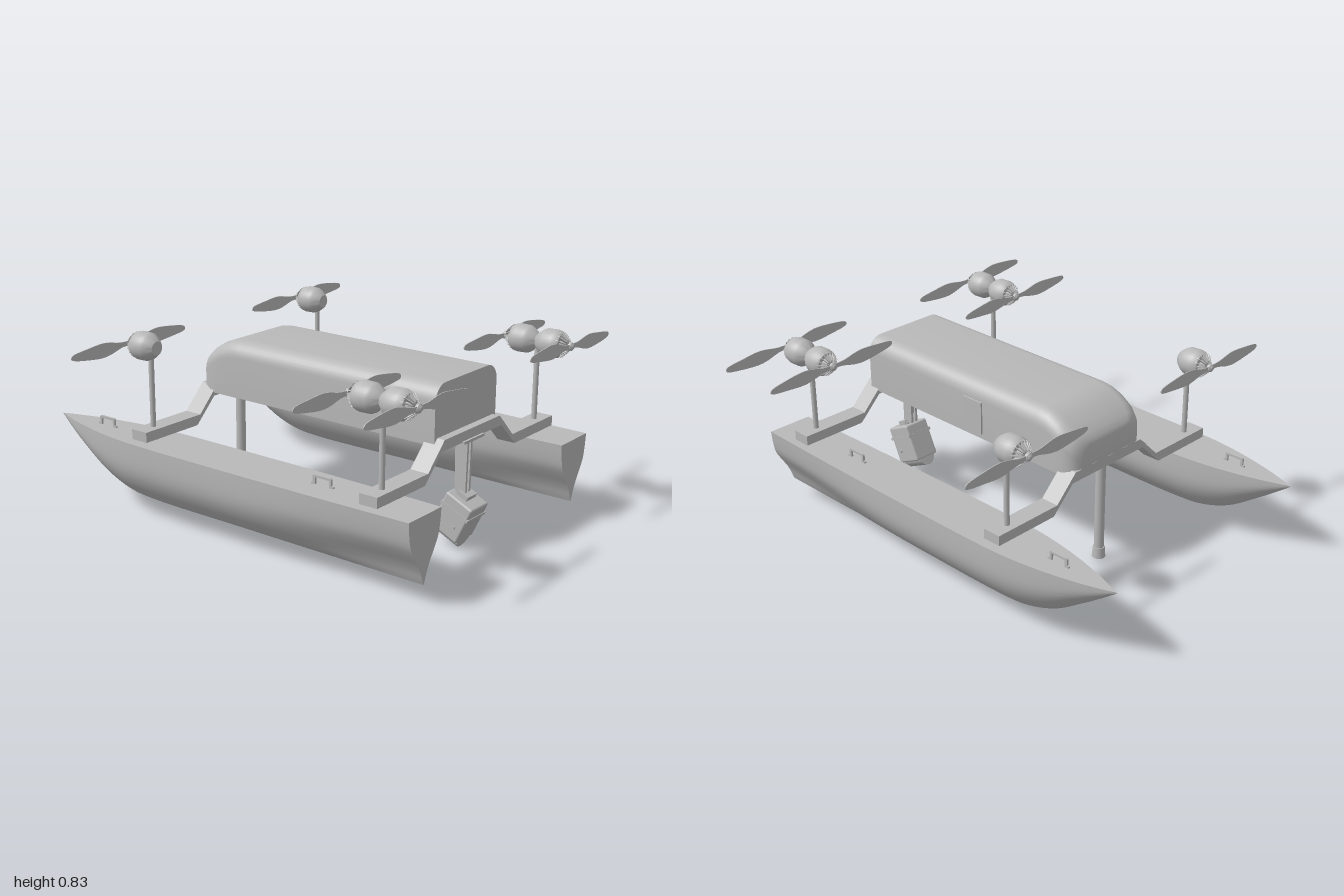
import * as THREE from 'three';
import { toCreasedNormals } from 'three/addons/utils/BufferGeometryUtils.js';
import { RoundedBoxGeometry } from 'three/addons/geometries/RoundedBoxGeometry.js';

const grey = new THREE.MeshStandardMaterial({ color: 0xb8b8b8 });
grey.name = 'hullGrey';
const HULL_Z = 0.564;
const MOTOR_Y = 0.777;

function add(parent, name, geometry, x = 0, y = 0, z = 0) {
  const mesh = new THREE.Mesh(geometry, grey);
  mesh.name = name;
  mesh.position.set(x, y, z);
  parent.add(mesh);
  return mesh;
}

// Skin over sections along x; each half outline runs [z, y] down the +z side and is mirrored
function loft(sections, crease) {
  const pos = [], idx = [];
  const rings = sections.map(({ x, half }) => {
    const ring = [...half, ...half.slice().reverse().map(([z, y]) => [-z, y])];
    ring.forEach(([z, y]) => pos.push(x, y, z));
    return ring;
  });
  const n = rings[0].length;
  for (let i = 0; i < rings.length - 1; i++) {
    for (let j = 0; j < n; j++) {
      const k = (j + 1) % n;
      const a = i * n + j, b = a + n, c = (i + 1) * n + k, d = i * n + k;
      idx.push(a, c, b, a, d, c);
    }
  }
  const last = (rings.length - 1) * n;
  for (let j = 0; j < n / 2 - 1; j++) {
    const a = j, b = j + 1, c = n - 2 - j, d = n - 1 - j;
    idx.push(last + a, last + b, last + c, last + a, last + c, last + d);
    idx.push(a, c, b, a, d, c);
  }
  const g = new THREE.BufferGeometry();
  g.setAttribute('position', new THREE.Float32BufferAttribute(pos, 3));
  g.setIndex(idx);
  return toCreasedNormals(g, crease);
}

// Extrude an outline drawn in the z-y plane along x, centred on x = 0
function extrudeX(shape, depth) {
  const g = new THREE.ExtrudeGeometry(shape, { depth, bevelEnabled: false, curveSegments: 10 });
  return g.translate(0, 0, -depth / 2).rotateY(-Math.PI / 2);
}

const polygon = (pts) => new THREE.Shape(pts.map(([x, y]) => new THREE.Vector2(x, y)));

// Read a smooth curve of [x, a, b] stations as a list of evenly sampled vectors
const sample = (pts, count) =>
  new THREE.CatmullRomCurve3(pts.map((p) => new THREE.Vector3(...p)), false, 'centripetal').getPoints(count);

function hullGeometry() {
  const full = [[1, 0], [1, 0.2], [0.97, 0.4], [0.88, 0.55], [0.7, 0.7], [0.45, 0.84], [0.2, 0.95], [0, 1]];
  const hollow = [[1, 0], [0.95, 0.2], [0.85, 0.38], [0.62, 0.54], [0.38, 0.68], [0.2, 0.81], [0.09, 0.92], [0, 1]];
  // x, half beam, keel height
  const stations = [[-1, 0.001, 0.365], [-0.92, 0.03, 0.305], [-0.84, 0.055, 0.248], [-0.69, 0.09, 0.15],
    [-0.55, 0.111, 0.1], [-0.42, 0.12, 0.087], [0.1, 0.122, 0.085], [0.6, 0.117, 0.085], [1, 0.107, 0.085]];
  return loft(sample(stations, 48).map(({ x, y: beam, z: keel }) => {
    const t = THREE.MathUtils.smoothstep(x, 0.1, 1);
    const half = sample(full.map(([w, d], i) => [
      THREE.MathUtils.lerp(w, hollow[i][0], t) * beam,
      0.37 - THREE.MathUtils.lerp(d, hollow[i][1], t) * (0.37 - keel), 0]), 20);
    return { x, half: half.map((p) => [p.x, p.y]) };
  }), 0.7);
}

function cabinGeometry() {
  // x, half width, roof height
  const stations = [[-0.462, 0.165, 0.635], [-0.455, 0.188, 0.65], [-0.435, 0.21, 0.672], [-0.4, 0.223, 0.7],
    [-0.35, 0.225, 0.731], [-0.3, 0.225, 0.75], [-0.25, 0.225, 0.756], [0.805, 0.225, 0.756]];
  return loft(stations.map(([x, w, top]) => {
    const r = 0.07, half = [];
    for (let i = 0; i <= 8; i++) {
      const a = (i / 8) * Math.PI / 2;
      half.push([w - r + r * Math.sin(a), top - r + r * Math.cos(a)]);
    }
    half.push([w, 0.505]);
    return { x, half };
  }), 0.75);
}

// Cranked cross beam joining the cabin to both hulls
function beamGeometry() {
  const top = [[0.65, 0.425], [0.315, 0.425], [0.205, 0.535]];
  const low = [[0.65, 0.38], [0.335, 0.38], [0.222, 0.49]];
  const mirror = (pts) => pts.map(([z, y]) => [-z, y]);
  return extrudeX(polygon([...low.slice().reverse(), ...top, ...mirror(top).reverse(), ...mirror(low)]), 0.085);
}

// Two leaf-shaped blades
function bladeGeometry() {
  const s = new THREE.Shape();
  s.moveTo(0, 0.01);
  s.splineThru([[0.05, 0.012], [0.12, 0.03], [0.18, 0.034], [0.28, 0.022], [0.325, 0.012], [0.335, 0],
    [0.32, -0.012], [0.24, -0.022], [0.15, -0.028], [0.06, -0.012], [0, -0.01]]
    .map(([x, y]) => new THREE.Vector2(x, y)));
  return extrudeX(s, 0.004);
}

const lathe = (pts, sides) => toCreasedNormals(
  new THREE.LatheGeometry(pts.map(([r, h]) => new THREE.Vector2(r, h)), sides).rotateZ(-Math.PI / 2), 0.6);

// Motor pod with its tail at the local origin and the propeller toward +x
function motorPod(tilt) {
  const g = new THREE.Group();
  g.name = 'motorPod';
  add(g, 'nacelle', lathe([[0, 0], [0.03, 0], [0.038, 0.008], [0.054, 0.03], [0.061, 0.045], [0.062, 0.09],
    [0.058, 0.108], [0.05, 0.12], [0.03, 0.12]], 32));
  add(g, 'motorCore', lathe([[0.034, 0.115], [0.03, 0.13], [0.016, 0.146], [0, 0.146]], 20));
  add(g, 'propellerHub', lathe([[0.009, 0.14], [0.009, 0.152], [0.018, 0.154], [0.018, 0.165], [0.008, 0.174], [0, 0.175]], 20));
  // Cooling fins around the motor face
  const fin = new THREE.ExtrudeGeometry(
    polygon([[0.112, 0.025], [0.112, 0.056], [0.122, 0.054], [0.149, 0.028], [0.149, 0.012]]),
    { depth: 0.004, bevelEnabled: false }).translate(0, 0, -0.002);
  for (let i = 0; i < 18; i++) add(g, 'coolingFin', fin).rotation.x = (i / 18) * Math.PI * 2;
  const blade = bladeGeometry();
  for (const a of [0, Math.PI]) add(g, 'propellerBlade', blade, 0.16).rotation.x = a + tilt;
  return g;
}

// Staple-shaped lifting handle
function handleGeometry() {
  const shape = polygon([[-0.055, 0], [-0.035, 0], [-0.035, 0.031], [0.035, 0.031], [0.035, 0], [0.055, 0],
    [0.055, 0.008], [0.046, 0.01], [0.046, 0.036], [0.041, 0.041], [-0.041, 0.041], [-0.046, 0.036],
    [-0.046, 0.01], [-0.055, 0.008]]);
  return new THREE.ExtrudeGeometry(shape, { depth: 0.01, bevelEnabled: false }).translate(0, 0, -0.005);
}

// Tilted instrument housing hung on a flat strut below the stern
function sternUnit() {
  const g = new THREE.Group();
  g.name = 'sternUnit';
  add(g, 'mountingPlate', new THREE.BoxGeometry(0.1, 0.012, 0.15), 0.8, 0.488, 0);
  const strut = new THREE.Shape();
  strut.moveTo(0.03, 0.49);
  strut.lineTo(-0.03, 0.49);
  strut.lineTo(-0.026, 0.24);
  strut.absarc(0, 0.24, 0.026, Math.PI, Math.PI * 2, false);
  strut.closePath();
  const plate = new THREE.ExtrudeGeometry(strut, { depth: 0.012, bevelEnabled: false }).translate(0, 0, -0.006);
  for (const s of [-1, 1]) add(g, 'strutCheek', plate, 0.8, 0, s * 0.013);
  add(g, 'strutWeb', new THREE.BoxGeometry(0.035, 0.19, 0.016), 0.8, 0.395, 0);
  add(g, 'pivotPin', new THREE.CylinderGeometry(0.009, 0.009, 0.06, 14).rotateX(Math.PI / 2), 0.8, 0.25, 0);

  const unit = new THREE.Group();
  unit.name = 'housing';
  unit.position.set(0.79, 0.149, 0);
  unit.rotation.z = -0.436;
  add(unit, 'housingBody', new RoundedBoxGeometry(0.14, 0.18, 0.13, 3, 0.01));
  add(unit, 'housingBand', new THREE.BoxGeometry(0.146, 0.014, 0.136), 0, 0.035, 0);
  add(unit, 'lowerBarrel', new THREE.CylinderGeometry(0.046, 0.046, 0.134, 28).rotateZ(Math.PI / 2), 0, -0.082, 0);
  add(unit, 'pivotLug', new THREE.BoxGeometry(0.05, 0.03, 0.07), -0.01, 0.095, 0);
  for (const s of [-1, 1]) {
    add(unit, 'sideKnob', new THREE.CylinderGeometry(0.008, 0.008, 0.012, 12).rotateX(Math.PI / 2), 0.03, -0.03, s * 0.068);
  }
  g.add(unit);
  return g;
}

export function createModel() {
  const model = new THREE.Group();
  model.name = 'catamaran';
  add(model, 'cabin', cabinGeometry());
  add(model, 'sidePanel', new THREE.BoxGeometry(0.11, 0.15, 0.009), 0.12, 0.605, -0.2285);

  const hull = hullGeometry(), beam = beamGeometry(), handle = handleGeometry();
  add(model, 'frontBeam', beam, -0.42);
  add(model, 'rearBeam', beam, 0.798);

  for (const s of [-1, 1]) {
    const z = s * HULL_Z;
    add(model, 'hull', hull, 0, 0, z);
    for (const x of [-0.705, 0.512]) add(model, 'handle', handle, x, 0.369, z);
    for (const x of [-0.42, 0.798]) {
      add(model, 'motorPost', new THREE.CylinderGeometry(0.012, 0.012, 0.4, 18), x, 0.575, z);
      add(model, 'beamFoot', new THREE.CylinderGeometry(0.024, 0.024, 0.02, 18), x, 0.374, z);
    }
    // One pod at the front, a back-to-back pair at the rear
    for (const [x, dir, tilt] of [[-0.382, -1, 0], [0.799, -1, 0.03], [0.799, 1, -0.03]]) {
      const pod = motorPod(tilt);
      pod.position.set(x, MOTOR_Y, z);
      if (dir < 0) pod.rotation.y = Math.PI;
      model.add(pod);
    }
  }

  // Sensor pole under the front of the cabin
  add(model, 'sensorPole', new THREE.CylinderGeometry(0.022, 0.022, 0.46, 24), -0.42, 0.28, 0);
  add(model, 'sensorTip', new THREE.CylinderGeometry(0.026, 0.03, 0.05, 24), -0.42, 0.047, 0);
  model.add(sternUnit());
  return model;
}
